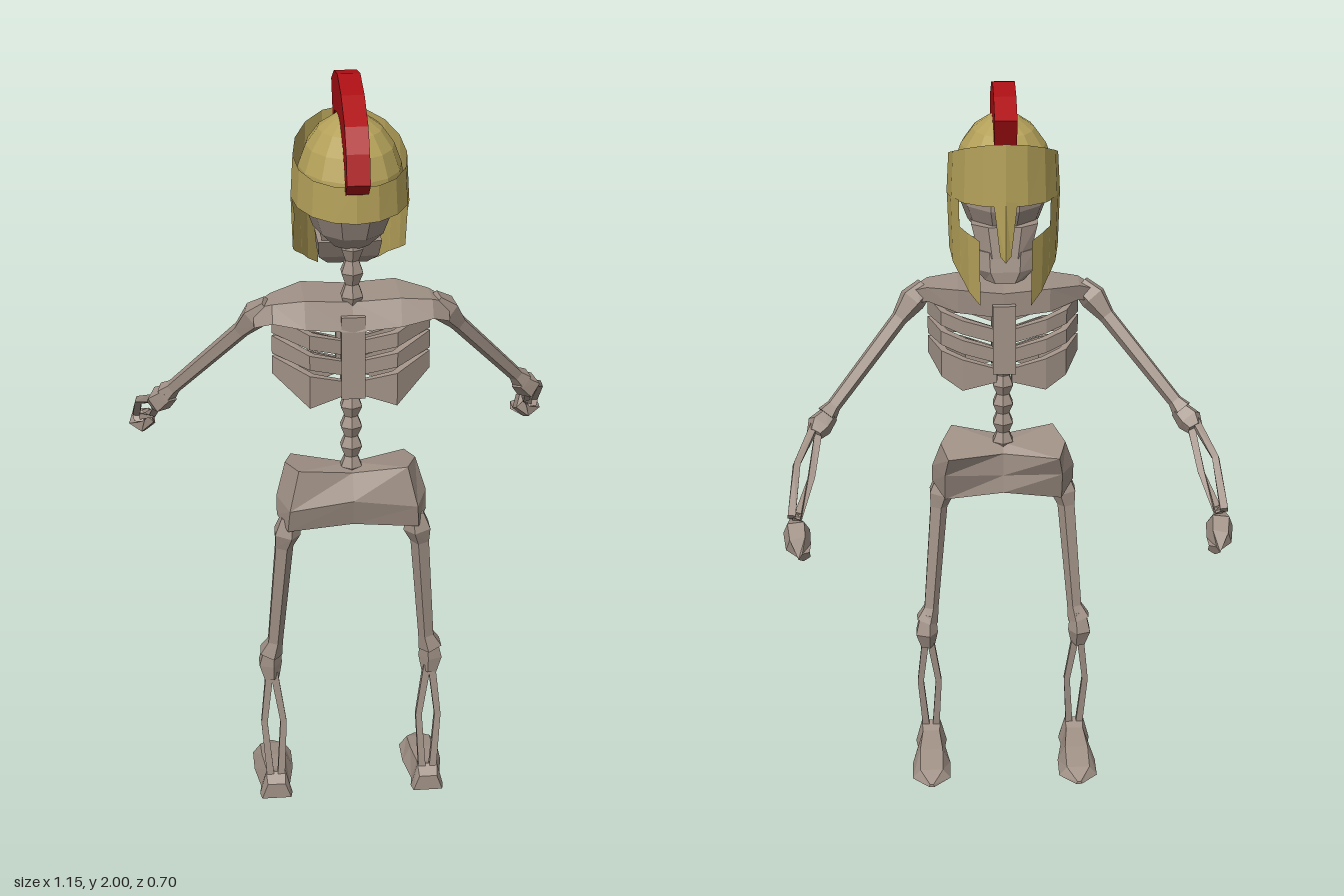
import * as THREE from 'three';

const bone = new THREE.MeshStandardMaterial({ color: 0xa09186, flatShading: true });
bone.name = 'bone';
const gold = new THREE.MeshStandardMaterial({ color: 0xb5a25a, flatShading: true, side: THREE.DoubleSide });
gold.name = 'gold';
const red = new THREE.MeshStandardMaterial({ color: 0xac1014, flatShading: true });
red.name = 'crest red';

function geometry(pos, idx) {
  const g = new THREE.BufferGeometry();
  g.setAttribute('position', new THREE.Float32BufferAttribute(pos, 3));
  g.setIndex(idx);
  g.computeVertexNormals();
  return g;
}

// Closed solid through rings of [x, y, z] points, turned outward by its signed volume
function loft(rings) {
  const n = rings[0].length, pos = rings.flat(2), idx = [];
  for (let r = 0; r < rings.length - 1; r++) {
    for (let i = 0; i < n; i++) {
      const a = r * n + i, b = r * n + (i + 1) % n;
      idx.push(a, b, a + n, b, b + n, a + n);
    }
  }
  [0, rings.length - 1].forEach((r, end) => {
    const c = pos.length / 3;
    for (let k = 0; k < 3; k++) pos.push(rings[r].reduce((s, p) => s + p[k], 0) / n);
    for (let i = 0; i < n; i++) {
      const a = r * n + i, b = r * n + (i + 1) % n;
      end ? idx.push(c, a, b) : idx.push(c, b, a);
    }
  });
  const P = i => new THREE.Vector3().fromArray(pos, i * 3);
  let volume = 0;
  for (let i = 0; i < idx.length; i += 3) volume += P(idx[i]).dot(P(idx[i + 1]).cross(P(idx[i + 2])));
  if (volume < 0) idx.reverse();
  return geometry(pos, idx);
}

// Open sheet between an upper and a lower edge
function sheet(top, bottom) {
  const n = top.length, idx = [];
  for (let i = 0; i < n - 1; i++) idx.push(i, n + i, i + 1, i + 1, n + i, n + i + 1);
  return geometry([...top, ...bottom].flat(), idx);
}

// Rings around a path of [x, y, z, radius]
function limb(path, sides = 5) {
  const V = path.map(p => new THREE.Vector3(p[0], p[1], p[2]));
  return path.map((p, i) => {
    const d = V[Math.min(i + 1, V.length - 1)].clone().sub(V[Math.max(i - 1, 0)]).normalize();
    const ref = Math.abs(d.z) > 0.85 ? new THREE.Vector3(1, 0, 0) : new THREE.Vector3(0, 0, 1);
    const u = ref.cross(d).normalize(), v = d.clone().cross(u);
    return Array.from({ length: sides }, (_, k) => {
      const a = (k + 0.5) / sides * Math.PI * 2;
      return V[i].clone().addScaledVector(u, Math.cos(a) * p[3]).addScaledVector(v, Math.sin(a) * p[3]).toArray();
    });
  });
}

const mirrorRings = rings => rings.map(r => r.map(([x, y, z]) => [-x, y, z]));

export function createModel() {
  const model = new THREE.Group();
  const add = (name, geo, mat = bone) => {
    const m = new THREE.Mesh(geo, mat);
    m.name = name;
    model.add(m);
    return m;
  };
  const pair = (name, rings) => {
    add(name + 'Left', loft(rings));
    add(name + 'Right', loft(mirrorRings(rings)));
  };
  // Outline from a half list running back centre to front centre
  const whole = half => [...half, ...half.slice(1, -1).reverse().map(([x, y, z]) => [-x, y, z])];

  // Legs: thigh, knee, twin shin bones and foot
  pair('thigh', limb([[0.165, 0.86, 0.2, 0.025], [0.172, 0.815, 0.2, 0.038], [0.18, 0.775, 0.195, 0.026],
    [0.205, 0.47, 0.165, 0.022], [0.218, 0.43, 0.16, 0.034]]));
  pair('knee', limb([[0.215, 0.45, 0.16, 0.024], [0.22, 0.395, 0.152, 0.034], [0.216, 0.35, 0.16, 0.022]]));
  for (const s of [-1, 1]) {
    pair('shin', limb([[0.215 + s * 0.006, 0.37, 0.162, 0.014], [0.212 + s * 0.026, 0.22, 0.176, 0.012],
      [0.21 + s * 0.014, 0.05, 0.197, 0.014]], 4));
  }
  pair('foot', [[0.225, 0.04, 0.045], [0.2, 0.045, 0.07], [0.165, 0.04, 0.055], [0.08, 0.054, 0.045],
    [0, 0.054, 0.028], [-0.045, 0.008, 0.008]].map(([z, w, h]) =>
    [[0.21 - w, 0, z], [0.21 + w, 0, z], [0.21 + w * 0.6, h, z], [0.21 - w * 0.6, h, z]]));

  // Pelvis bowl with forward wings
  add('pelvis', loft([
    [[0, 0.985, 0.21], [0.14, 1.005, 0.23], [0.17, 0.99, 0.14], [0.15, 0.975, 0.06], [0, 0.965, 0.12]],
    [[0, 0.92, 0.245], [0.165, 0.9, 0.25], [0.195, 0.91, 0.17], [0.16, 0.915, 0.09], [0, 0.9, 0.12]],
    [[0, 0.845, 0.225], [0.17, 0.835, 0.235], [0.195, 0.86, 0.18], [0.16, 0.83, 0.12], [0, 0.85, 0.115]],
  ].map(whole)));

  // Spine and neck vertebrae
  const vertebrae = (name, count, a, b, r) => {
    for (let i = 0; i < count; i++) {
      const at = t => [0, a[0] + (b[0] - a[0]) * t, a[1] + (b[1] - a[1]) * t];
      add(name, loft(limb([[...at(i / count), r * 0.7], [...at((i + 0.5) / count), r * 1.15],
        [...at((i + 1) / count), r * 0.7]], 6)));
    }
  };
  vertebrae('spine', 5, [0.96, 0.165], [1.24, 0.16], 0.027);
  vertebrae('neck', 3, [1.43, 0.175], [1.62, 0.18], 0.027);

  // Chest: backbone plate, breastbone and three pairs of ribs
  const plate = (name, w, y0, y1, z, d) => {
    add(name, new THREE.BoxGeometry(w, y1 - y0, d)).position.set(0, (y0 + y1) / 2, z);
  };
  plate('backbone', 0.06, 1.2, 1.42, 0.205, 0.04);
  plate('breastbone', 0.06, 1.23, 1.42, 0.055, 0.02);
  [1.335, 1.28, 1.225].forEach((y, i) => {
    const h = 0.038, low = i === 2 ? 0.05 : 0;
    const path = [[0.02, y, 0.215, 0], [0.11, y + 0.025, 0.232, low], [0.2, y + 0.055, 0.16, 0.01],
      [0.165, y + 0.04, 0.085, low * 0.7], [0.11, y + 0.025, 0.055, low], [0.02, y, 0.05, 0]];
    pair('rib' + (i + 1), path.map(([x, py, z, drop]) => {
      const ix = x * 0.9, iz = 0.14 + (z - 0.14) * 0.82;
      return [[x, py + h / 2, z], [x, py - h / 2 - drop, z], [ix, py - h / 2 - drop, iz], [ix, py + h / 2, iz]];
    }));
  });
  // Shoulder girdle across the top of the chest
  const girdle = [[0.245, 1.39, 1.43, 0.13, 0.195], [0.2, 1.41, 1.45, 0.1, 0.225], [0.12, 1.395, 1.46, 0.05, 0.235]];
  const slice = ([x, y0, y1, z0, z1]) => [[x, y0, z0 + 0.02], [x, y1, z0 + 0.015], [x, y1, z1 - 0.03], [x, y0, z1]];
  add('shoulderGirdle', loft([...girdle.map(slice), slice([0, 1.38, 1.45, 0.045, 0.225]),
    ...mirrorRings(girdle.map(slice)).reverse()]));

  // Arms: upper arm, elbow, twin forearm bones and hand
  pair('upperArm', limb([[0.205, 1.435, 0.165, 0.028], [0.24, 1.405, 0.15, 0.038], [0.275, 1.36, 0.13, 0.023],
    [0.45, 1.16, 0.018, 0.02], [0.468, 1.14, 0.006, 0.03]]));
  pair('elbow', limb([[0.46, 1.14, 0.012, 0.026], [0.487, 1.115, -0.005, 0.036], [0.5, 1.1, -0.03, 0.022]]));
  for (const s of [-1, 1]) {
    pair('forearm', limb([[0.495 + s * 0.005, 1.11 + s * 0.006, -0.015, 0.014],
      [0.525 + s * 0.018, 1.04 + s * 0.02, -0.13, 0.012], [0.547 + s * 0.006, 0.962 + s * 0.006, -0.25, 0.014]], 4));
  }
  pair('hand', limb([[0.546, 0.965, -0.235, 0.02], [0.541, 0.942, -0.265, 0.036], [0.535, 0.92, -0.31, 0.034],
    [0.517, 0.902, -0.342, 0.018]]));

  // Skull, cheek block and jaw
  const skull = new THREE.SphereGeometry(1, 10, 7).scale(0.118, 0.15, 0.152).translate(0, 1.725, 0.135);
  add('skull', skull);
  const block = (y, w, z0, z1) => [[-w, y, z1], [w, y, z1], [w, y, z0 + 0.03], [w * 0.5, y, z0], [-w * 0.5, y, z0], [-w, y, z0 + 0.03]];
  add('face', loft([block(1.65, 0.085, 0, 0.14), block(1.57, 0.065, -0.01, 0.11)]));
  add('jaw', loft([block(1.585, 0.08, -0.005, 0.13), block(1.535, 0.075, -0.015, 0.1), block(1.505, 0.05, -0.015, 0.06)]));

  // Helmet dome
  const dome = new THREE.SphereGeometry(1, 14, 5, 0, Math.PI * 2, 0, Math.PI / 2);
  add('helmetDome', dome.scale(0.134, 0.185, 0.17).translate(0, 1.727, 0.122), gold);

  // Helmet band, rising toward the brow
  const top = [], low = [];
  for (let i = 0; i <= 16; i++) {
    const a = i / 16 * Math.PI * 2, s = Math.sin(a), c = Math.cos(a), f = (1 - c) / 2;
    top.push([0.14 * s, 1.78 + 0.1 * f ** 1.7, 0.125 + 0.175 * c]);
    low.push([0.146 * s, 1.69 + 0.03 * f, 0.125 + 0.178 * c]);
  }
  add('helmetBand', sheet(top, low), gold);

  // Cheek guards with an eye notch: [x, z, top, bottom]
  const cheek = [[0.143, 0.16, 1.7, 1.67], [0.145, 0.11, 1.71, 1.565], [0.136, 0.06, 1.715, 1.54],
    [0.116, 0.015, 1.72, 1.515], [0.115, 0.014, 1.65, 1.515], [0.095, -0.025, 1.645, 1.487], [0.066, -0.06, 1.635, 1.462]];
  for (const s of [1, -1]) {
    add(s > 0 ? 'cheekGuardLeft' : 'cheekGuardRight',
      sheet(cheek.map(([x, z, t]) => [s * x, t, z]), cheek.map(([x, z, , b]) => [s * x * 0.97, b, z])), gold);
  }
  // Nose guard
  add('noseGuard', sheet([[-0.03, 1.73, -0.048], [0, 1.735, -0.056], [0.03, 1.73, -0.048]],
    [[-0.014, 1.59, -0.05], [0, 1.575, -0.06], [0.014, 1.59, -0.05]]), gold);

  // Helmet crest: outer and inner [z, y] along the arc
  const crest = [[0.345, 1.8, 0.305, 1.765], [0.325, 1.87, 0.275, 1.82], [0.285, 1.925, 0.24, 1.86], [0.195, 1.975, 0.165, 1.895],
    [0.095, 2, 0.095, 1.905], [0.005, 1.985, 0.025, 1.89], [-0.07, 1.945, -0.028, 1.855]];
  const w = 0.028;
  add('crest', loft(crest.map(([z, y, iz, iy]) => [[-w, y, z], [w, y, z], [w, iy, iz], [-w, iy, iz]])), red);

  return model;
}
